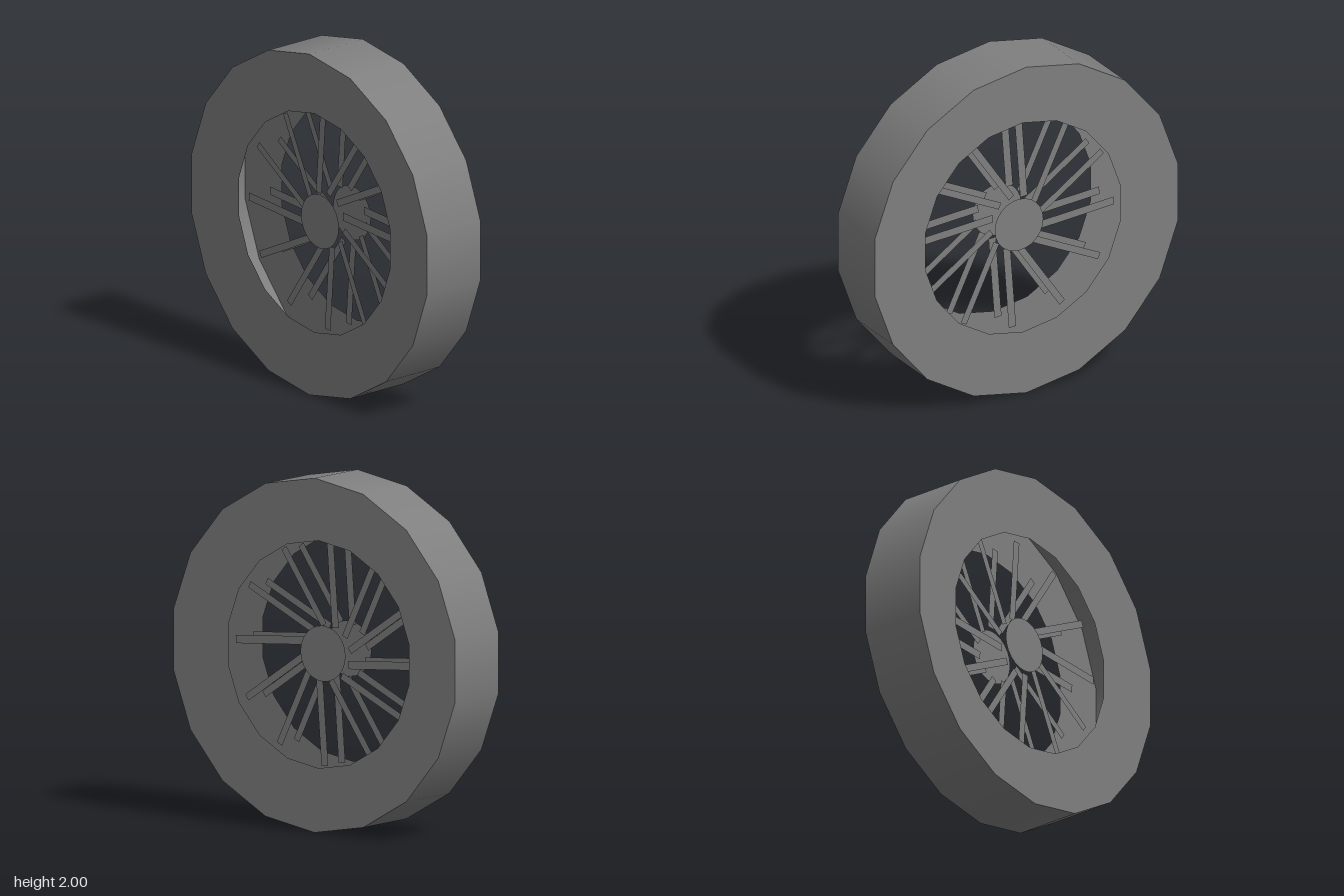
import * as THREE from 'three';

export function createModel() {
  const wheel = new THREE.Group();
  wheel.name = 'wheel';
  // Thin open shells, seen from inside and outside
  const grey = new THREE.MeshStandardMaterial({ color: 0x7f7f80, side: THREE.DoubleSide });
  grey.name = 'grey';

  const add = (parent, name, geometry) => {
    const mesh = new THREE.Mesh(geometry, grey);
    mesh.name = name;
    parent.add(mesh);
    return mesh;
  };

  // An 18-sided band around the x axis between two [radius, x] points
  const band = (from, to) => new THREE.LatheGeometry(
    [new THREE.Vector2(...from), new THREE.Vector2(...to)], 18, Math.PI / 2, Math.PI * 2
  ).rotateZ(-Math.PI / 2);

  // Rim: a hollow shell, open towards the hub
  const rim = new THREE.Group();
  rim.name = 'rim';
  add(rim, 'tread', band([1, -0.2], [1, 0.2]));
  wheel.add(rim);

  for (const side of [1, -1]) {
    const name = side > 0 ? 'left' : 'right';

    // Side face, dished slightly inwards but shaded evenly
    const outer = [1, side * 0.2], inner = [0.642, side * 0.16];
    const face = side > 0 ? band(outer, inner) : band(inner, outer);
    const normals = face.attributes.normal;
    for (let i = 0; i < normals.count; i++) normals.setXYZ(i, side, 0, 0);
    add(rim, name + 'Face', face);

    // Hub disc, floating just outside the spokes
    const hub = add(wheel, name + 'HubDisc', new THREE.CircleGeometry(0.158, 24));
    hub.rotation.y = side * Math.PI / 2;
    hub.position.x = side * 0.12;

    // Twelve flat leaning spokes in one upright plane
    const spokes = new THREE.Group();
    spokes.name = name + 'Spokes';
    for (let k = 0; k < 12; k++) {
      const width = k % 3 === 0 ? 0.047 : 0.041;
      const spoke = new THREE.PlaneGeometry(width, 0.495);
      spoke.rotateY(side * Math.PI / 2);
      spoke.rotateX(0.076);
      spoke.translate(side * 0.079, 0.393, -0.037);
      spoke.rotateX(-k * Math.PI / 6);
      add(spokes, 'spoke', spoke);
    }
    wheel.add(spokes);
  }

  wheel.position.y = 1;
  const model = new THREE.Group();
  model.name = 'spokedWheel';
  model.add(wheel);
  return model;
}
